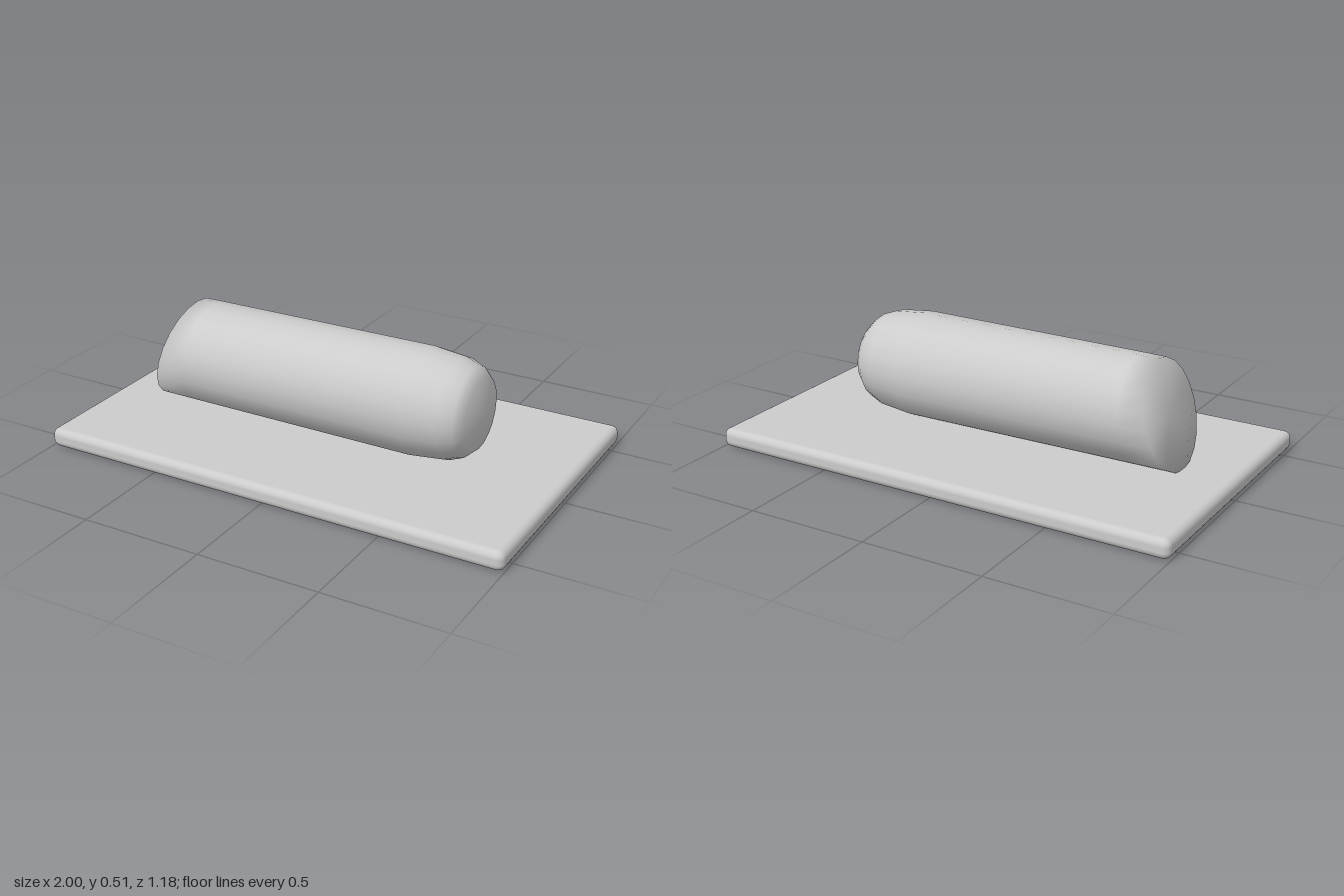
import * as THREE from 'three';
import { RoundedBoxGeometry } from 'three/addons/geometries/RoundedBoxGeometry.js';

const SIDES = 20;
const AXIS_Y = 0.29;

// Skin of round rings along x, closed by a point at each end.
// ring: [x, radius, slant], where slant shifts x with height to lean the ring
function loftAlongX(rings, startX, endX) {
  const pos = [startX, 0, 0];
  const index = [];
  for (const [x, r, slant] of rings) {
    for (let i = 0; i < SIDES; i++) {
      const a = (i / SIDES) * Math.PI * 2;
      const y = Math.cos(a) * r;
      pos.push(x + y * slant, y, Math.sin(a) * r);
    }
  }
  pos.push(endX, 0, 0);
  const last = pos.length / 3 - 1;
  const id = (k, i) => 1 + k * SIDES + (i % SIDES);
  for (let i = 0; i < SIDES; i++) {
    index.push(0, id(0, i + 1), id(0, i));
    for (let k = 0; k < rings.length - 1; k++) {
      const a = id(k, i), b = id(k, i + 1), c = id(k + 1, i), d = id(k + 1, i + 1);
      index.push(a, b, c, b, d, c);
    }
    index.push(id(rings.length - 1, i), id(rings.length - 1, i + 1), last);
  }
  const g = new THREE.BufferGeometry();
  g.setAttribute('position', new THREE.Float32BufferAttribute(pos, 3));
  g.setIndex(index);
  g.computeVertexNormals();
  return g;
}

export function createModel() {
  const group = new THREE.Group();
  const grey = new THREE.MeshStandardMaterial({ color: 0xcccccc });

  // Flat base with softened edges
  const base = new THREE.Mesh(new RoundedBoxGeometry(2, 0.08, 1.18, 3, 0.03), grey);
  base.name = 'basePlate';
  base.position.y = 0.04;
  group.add(base);

  // Lying cylinder: slanted flat cut at one end, rounded nose at the other
  const rings = [
    [-0.72, 0.214, 0.286],
    [-0.6, 0.215, 0.1],
    [0.4, 0.22, 0],
    [0.54, 0.205, 0],
    [0.6, 0.182, 0],
    [0.637, 0.148, 0],
  ];
  const body = new THREE.Mesh(loftAlongX(rings, -0.72, 0.657), grey);
  body.name = 'cylinderBody';
  body.position.set(0, AXIS_Y, 0.003);
  group.add(body);

  return group;
}
